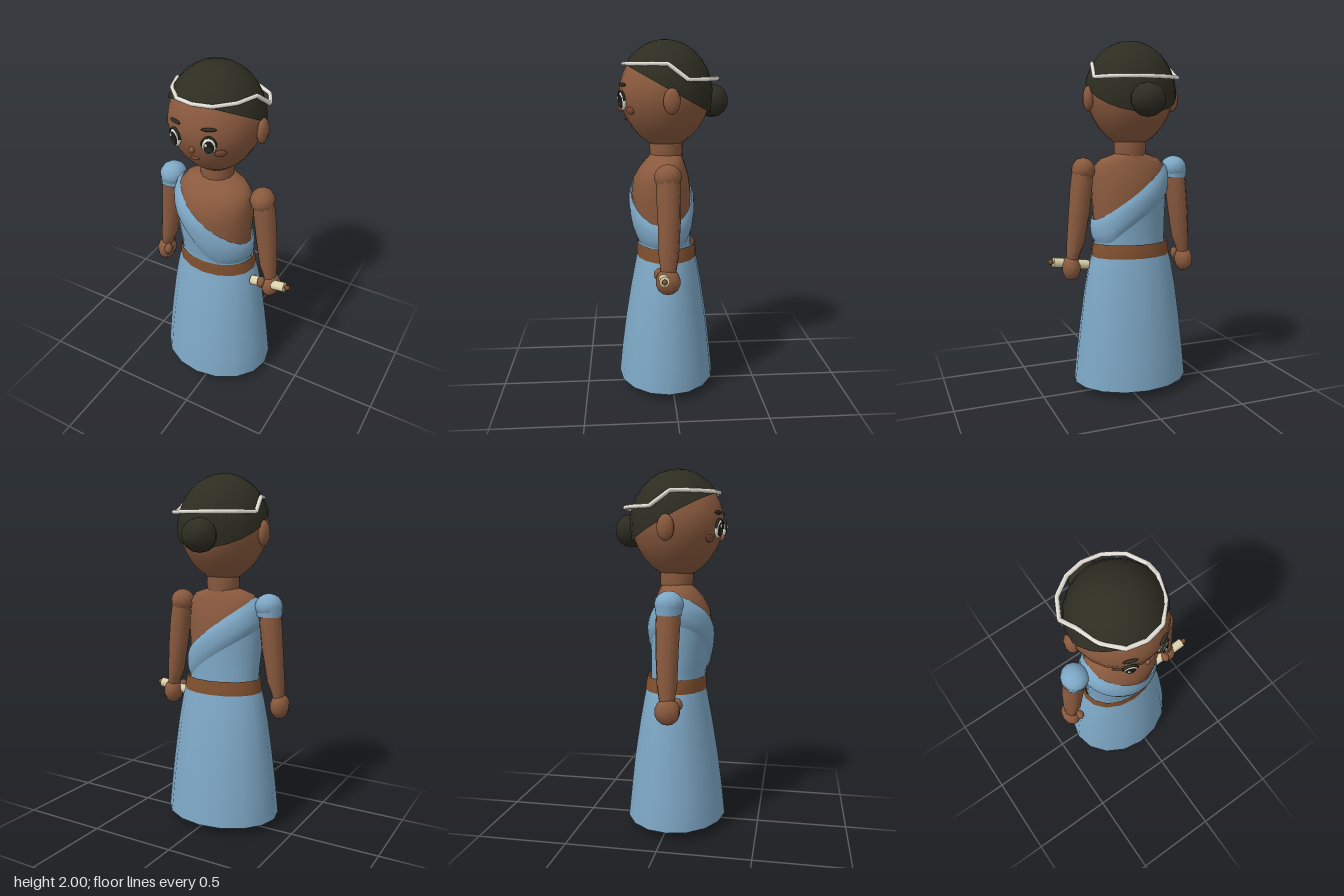
import * as THREE from 'three';

const mat = (name, color, side = THREE.FrontSide) => {
  const m = new THREE.MeshStandardMaterial({ color, side });
  m.name = name;
  return m;
};

export function createModel() {
  const skin = mat('skin brown', 0x8a5a3e);
  const cloth = mat('cloth blue', 0x7ea8c6, THREE.DoubleSide);
  const hairDark = mat('hair dark', 0x2e2d22, THREE.DoubleSide);
  const white = mat('band white', 0xe6e1d8);
  const cream = mat('parchment cream', 0xdcd3ac);
  const leather = mat('leather brown', 0x80502f, THREE.DoubleSide);
  const sole = mat('sole brown', 0x4c301e);
  const blush = mat('blush brown', 0x7c4a33);
  const black = mat('pupil black', 0x171715);

  const root = new THREE.Group();
  root.name = 'figure';
  const body = new THREE.Group();
  body.name = 'body';
  body.position.x = -0.04;
  root.add(body);

  const add = (name, geo, material, parent = body) => {
    const m = new THREE.Mesh(geo, material);
    m.name = name;
    parent.add(m);
    return m;
  };

  // Closed surface: n steps around (u: 0 front, towards +x), rows upwards
  const wrap = (n, rows, fn) => {
    const pos = [], idx = [];
    for (let j = 0; j <= rows; j++) {
      for (let i = 0; i < n; i++) pos.push(...fn((i / n) * Math.PI * 2, j / rows, j));
    }
    for (let j = 0; j < rows; j++) {
      for (let i = 0; i < n; i++) {
        const a = j * n + i, b = j * n + (i + 1) % n;
        idx.push(a, b, b + n, a, b + n, a + n);
      }
    }
    const g = new THREE.BufferGeometry();
    g.setAttribute('position', new THREE.Float32BufferAttribute(pos, 3));
    g.setIndex(idx);
    g.computeVertexNormals();
    return g;
  };

  // Elliptical sections [y, rx, rz, centre z, centre x]
  const loft = (secs, n = 16) => wrap(n, secs.length - 1, (a, v, j) => {
    const [y, rx, rz, cz = 0, cx = 0] = secs[j];
    return [cx + rx * Math.sin(a), y, cz + rz * Math.cos(a)];
  });
  const ball = (name, material, [x, y, z], [rx, ry, rz], n = 12) => {
    const m = add(name, new THREE.SphereGeometry(1, n, Math.max(6, n * 0.7 | 0)), material);
    m.position.set(x, y, z);
    m.scale.set(rx, ry, rz);
    return m;
  };

  // Torso and neck
  const torso = [
    [0.78, 0.205, 0.148, 0.035], [0.88, 0.205, 0.148, 0.038], [1.0, 0.212, 0.16, 0.05],
    [1.15, 0.222, 0.17, 0.055], [1.24, 0.22, 0.158, 0.055], [1.3, 0.212, 0.132, 0.046],
    [1.345, 0.175, 0.105, 0.035], [1.375, 0.085, 0.085, 0.027],
  ];
  add('torso', loft(torso, 20), skin);
  add('neck', loft([[1.36, 0.09, 0.09, 0.025], [1.4, 0.093, 0.094, 0.025], [1.46, 0.093, 0.094, 0.025]], 14), skin);

  // Torso section at any height, used to drape the dress
  const at = (y) => {
    let k = 0;
    while (k < torso.length - 2 && torso[k + 1][0] < y) k++;
    const p = torso[k], q = torso[k + 1], t = (y - p[0]) / (q[0] - p[0]);
    return p.map((c, i) => c + (q[i] - c) * t);
  };
  const drape = (lo, hi, off) => wrap(32, 6, (a, v) => {
    const dx = 0.22 * Math.sin(a), f = 0.5 + 0.5 * Math.cos(a);
    const y0 = lo(dx, f), y = y0 + (hi(dx, f) - y0) * v;
    const [, rx, rz, cz] = at(y), o = off(v);
    return [(rx + o) * Math.sin(a), y, cz + (rz + o) * Math.cos(a)];
  });
  const sashTop = (dx) => 1.165 - 0.75 * dx;
  const sashLow = (dx, f) => Math.max(0.87, f * (0.935 - 1.1 * dx) + (1 - f) * (1.0 - 0.65 * dx));
  add('bodice', drape(() => 0.79, (dx, f) => sashLow(dx, f) + 0.04, () => 0.006), cloth);
  add('sash', drape(sashLow, sashTop, (v) => 0.005 + 0.017 * Math.sqrt(Math.sin(Math.PI * Math.min(v, 0.999)))), cloth);

  // Skirt and belt
  add('skirt', loft([
    [0.05, 0.338, 0.28, 0.03], [0.22, 0.322, 0.262, 0.03], [0.4, 0.301, 0.24, 0.028],
    [0.6, 0.275, 0.208, 0.027], [0.74, 0.25, 0.182, 0.026], [0.82, 0.228, 0.166, 0.026],
  ]), cloth);
  add('belt', loft([[0.79, 0.236, 0.174, 0.026], [0.81, 0.234, 0.173, 0.026], [0.868, 0.224, 0.168, 0.03]]), leather);

  // Arms, hands, legs and sandals
  for (const s of [-1, 1]) {
    add('arm', loft([
      [0.78, 0.034, 0.042, 0.037, s * 0.348], [0.81, 0.038, 0.046, 0.036, s * 0.344],
      [0.87, 0.05, 0.055, 0.034, s * 0.33], [1.05, 0.06, 0.062, 0.03, s * 0.308],
      [1.18, 0.062, 0.066, 0.032, s * 0.295], [1.29, 0.06, 0.064, 0.035, s * 0.283],
    ], 10), skin);
    ball('shoulder', s < 0 ? cloth : skin, [s * 0.28, 1.285, 0.035], s < 0 ? [0.076, 0.071, 0.08] : [0.068, 0.07, 0.074]);
    ball('hand', skin, [s * 0.355, 0.73, 0.04], [0.053, 0.073, 0.07], 10);
    ball('thumb', skin, [s * 0.315, 0.76, 0.085], [0.024, 0.036, 0.03], 8);

    add('leg', loft([[0.03, 0.048, 0.05, 0.02, s * 0.113], [0.15, 0.045, 0.047, 0.02, s * 0.113],
      [0.78, 0.075, 0.08, 0.02, s * 0.1]], 10), skin);
    ball('foot', skin, [s * 0.113, 0.045, 0.09], [0.056, 0.038, 0.112]);
    const base = add('sole', new THREE.CylinderGeometry(1, 1, 0.02, 16), sole);
    base.position.set(s * 0.113, 0.01, 0.092);
    base.scale.set(0.067, 1, 0.125);
    for (const [y, z, r] of [[0.032, 0.09, 0.06], [0.1, 0.02, 0.05]]) {
      const strap = add('sandalStrap', new THREE.TorusGeometry(r, 0.007, 6, 16), leather);
      strap.rotation.x = Math.PI / 2;
      strap.position.set(s * 0.113, y, z);
      if (y < 0.05) strap.scale.y = 1.9;
    }
  }
  // Hem of the draped shoulder
  const hem = add('sleeveHem', new THREE.CylinderGeometry(0.074, 0.07, 0.05, 12, 1, true), cloth);
  hem.position.set(-0.285, 1.255, 0.035);

  // Scroll held in the left hand
  const scroll = new THREE.Group();
  scroll.name = 'scroll';
  scroll.position.set(0.35, 0.75, 0.065);
  scroll.rotation.z = Math.PI / 2 + 0.14;
  body.add(scroll);
  add('paper', new THREE.CylinderGeometry(0.028, 0.028, 0.21, 10), cream, scroll);
  add('rod', new THREE.CylinderGeometry(0.009, 0.009, 0.24, 6), leather, scroll);
  for (const s of [-1, 1]) add('knob', new THREE.SphereGeometry(0.016, 6, 5), leather, scroll).position.y = s * 0.12;

  // Head: egg that narrows towards the chin
  const C = [0, 1.7, 0.03], R = [0.25, 0.288, 0.258];
  const taper = (ny) => ny < 0 ? 1 + 0.13 * ny : 1;
  add('head', wrap(22, 14, (a, v) => {
    const t = Math.PI * (1 - v), ny = Math.cos(t), r = Math.sin(t) * taper(ny);
    return [R[0] * r * Math.sin(a), C[1] + R[1] * ny, C[2] + R[2] * r * Math.cos(a)];
  }), skin);

  // Hair cap, cut along a plane that drops towards the back
  const H = [0.26, 0.3, 0.266];
  add('hair', wrap(22, 9, (a, v) => {
    const B = 0.554 * H[2] * Math.cos(a);
    const cut = Math.acos(0.043 / Math.hypot(H[1], B)) - Math.atan2(B, H[1]);
    const t = cut * (1 - v), r = Math.sin(t);
    return [H[0] * r * Math.sin(a), C[1] + H[1] * Math.cos(t), C[2] + H[2] * r * Math.cos(a)];
  }), hairDark);
  ball('bun', hairDark, [0, 1.67, -0.23], [0.1, 0.092, 0.092], 10);

  // Headband: faceted loop, lower at the back
  const half = [[0, 1.87, 0.262], [0.1, 1.87, 0.24], [0.183, 1.87, 0.15], [0.226, 1.87, 0.03],
    [0.25, 1.79, -0.075], [0.195, 1.79, -0.18], [0.1, 1.79, -0.243], [0, 1.79, -0.262]];
  const loop = [...half, ...half.slice(1, -1).reverse().map(([x, y, z]) => [-x, y, z])]
    .map((p) => new THREE.Vector3(...p));
  const path = new THREE.CurvePath();
  loop.forEach((p, i) => path.add(new THREE.LineCurve3(p, loop[(i + 1) % loop.length])));
  add('headband', new THREE.TubeGeometry(path, 112, 0.012, 6, true), white);

  // Places a squashed ball on the face, turned along the surface
  const face = (name, material, dx, y, size, out = 0, geo = new THREE.SphereGeometry(1, 12, 8)) => {
    const ny = (y - C[1]) / R[1], k = taper(ny), nx = dx / (R[0] * k);
    const nz = Math.sqrt(1 - nx * nx - ny * ny);
    const n = new THREE.Vector3(nx / R[0], ny / R[1], nz / R[2]).normalize();
    const m = add(name, geo, material);
    m.position.set(dx, y, C[2] + R[2] * k * nz).addScaledVector(n, out);
    m.lookAt(m.position.clone().add(n));
    m.scale.set(...size);
  };
  for (const s of [-1, 1]) {
    face('eyeWhite', white, s * 0.093, 1.675, [0.036, 0.05, 0.018], 0.004);
    face('pupil', black, s * 0.093, 1.673, [0.027, 0.038, 0.012], 0.014);
    face('iris', hairDark, s * 0.093, 1.664, [0.018, 0.022, 0.006], 0.022);
    face('eyeGlint', white, s * 0.093 - 0.01, 1.69, [0.008, 0.01, 0.005], 0.025);
    face('eyelash', hairDark, s * 0.093, 1.677, [0.037, 0.05, 0.07], 0.008,
      new THREE.TorusGeometry(1, 0.11, 6, 12, Math.PI));
    face('eyebrow', hairDark, s * 0.093, 1.76, [0.039, 0.01, 0.01], 0.004);
    face('cheek', blush, s * 0.135, 1.625, [0.032, 0.021, 0.008], 0.002);
    ball('ear', skin, [s * 0.255, 1.68, 0.012], [0.03, 0.07, 0.047], 10);
  }
  face('nose', skin, 0, 1.632, [0.014, 0.02, 0.016], 0.004);
  face('mouth', blush, 0, 1.575, [0.027, 0.01, 0.008], 0.003);

  return root;
}
